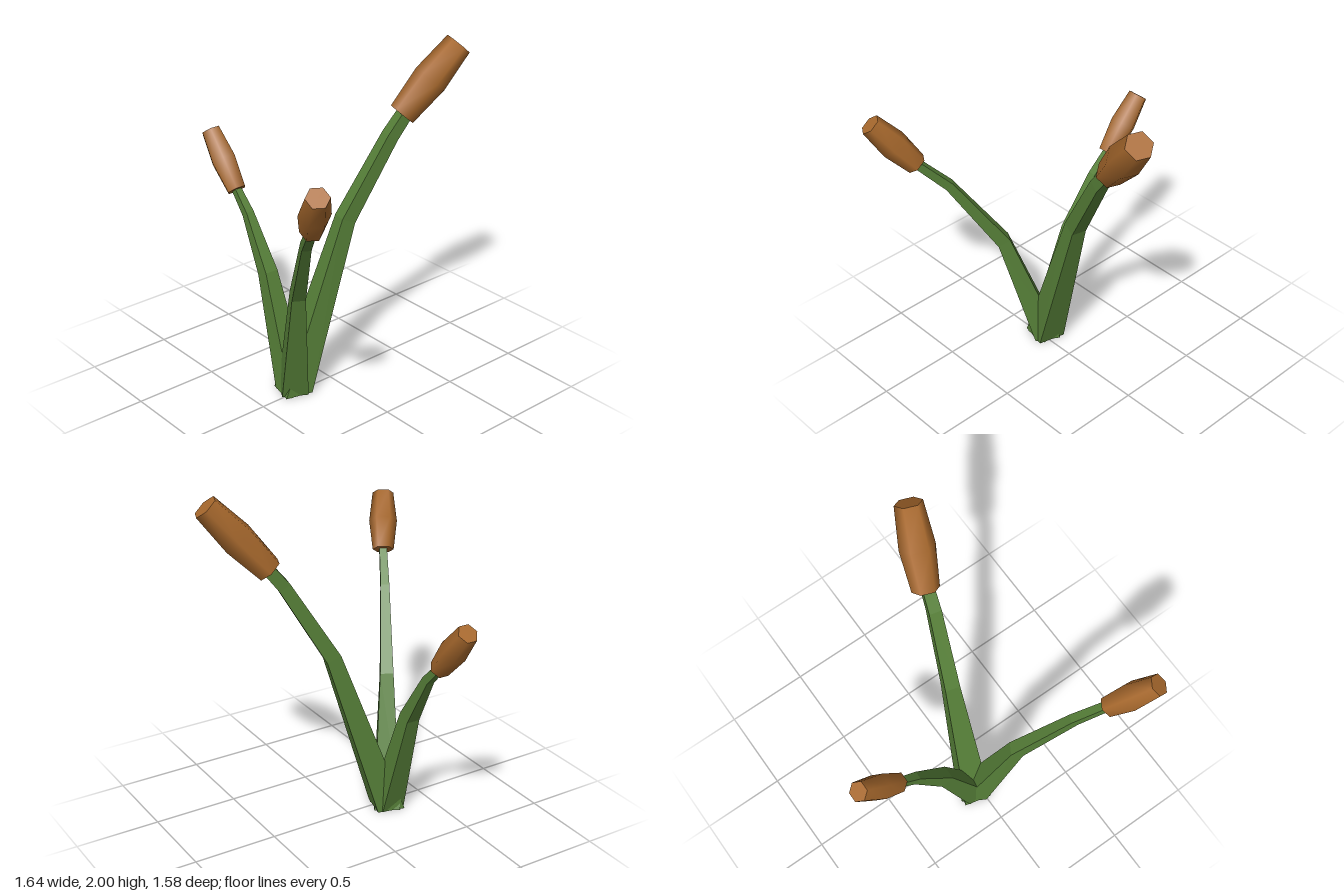
import * as THREE from 'three';
import { toCreasedNormals } from 'three/addons/utils/BufferGeometryUtils.js';

const V = (a) => new THREE.Vector3(...a);

// Square-section stem: nodes are [x, y, z, halfWidth]; first ring lies flat on the ground
function stemGeometry(nodes) {
  const pts = nodes.map((n) => V(n.slice(0, 3)));
  const lean = pts[pts.length - 1].clone().sub(pts[0]).setY(0).normalize();
  const side = new THREE.Vector3(0, 1, 0).cross(lean);
  const pos = [];
  const index = [];
  pts.forEach((p, i) => {
    const tangent = new THREE.Vector3(0, 1, 0);
    if (i > 0) {
      tangent.subVectors(p, pts[i - 1]).normalize();
      if (i < pts.length - 1) tangent.add(pts[i + 1].clone().sub(p).normalize());
      tangent.normalize();
    }
    const out = side.clone().cross(tangent).normalize();
    const s = nodes[i][3];
    for (const [a, b] of [[1, 1], [1, -1], [-1, -1], [-1, 1]]) {
      const c = p.clone().addScaledVector(side, a * s).addScaledVector(out, b * s);
      pos.push(c.x, c.y, c.z);
    }
  });
  // side walls
  for (let i = 0; i < pts.length - 1; i++) {
    for (let k = 0; k < 4; k++) {
      const a = i * 4 + k, b = i * 4 + (k + 1) % 4;
      index.push(a, a + 4, b, b, a + 4, b + 4);
    }
  }
  // end caps
  const t = (pts.length - 1) * 4;
  index.push(0, 1, 2, 0, 2, 3, t, t + 2, t + 1, t, t + 3, t + 2);
  // make the walls face outwards
  const g = new THREE.BufferGeometry();
  g.setAttribute('position', new THREE.Float32BufferAttribute(pos, 3));
  const A = V(pos.slice(0, 3)), B = V(pos.slice(3, 6)), T = V(pos.slice(12, 15));
  const normal = T.sub(A).cross(B.clone().sub(A));
  if (normal.dot(A.add(B).multiplyScalar(0.5).sub(pts[0])) < 0) {
    for (let i = 0; i < index.length; i += 3) [index[i + 1], index[i + 2]] = [index[i + 2], index[i + 1]];
  }
  g.setIndex(index);
  const flat = g.toNonIndexed();
  flat.computeVertexNormals();
  return flat;
}

// Six-sided seed head, bulged at the middle, running from one point to another
function headGeometry(from, to, endR, midR) {
  const a = V(from), b = V(to);
  const axis = b.clone().sub(a);
  const len = axis.length();
  axis.normalize();
  const g = new THREE.CylinderGeometry(endR, endR, len, 6, 2);
  const p = g.attributes.position;
  for (let i = 0; i < p.count; i++) {
    if (Math.abs(p.getY(i)) < 1e-4) {
      p.setX(i, p.getX(i) * midR / endR);
      p.setZ(i, p.getZ(i) * midR / endR);
    }
  }
  const side = new THREE.Vector3(0, 1, 0).cross(axis).normalize();
  const m = new THREE.Matrix4().makeBasis(axis.clone().cross(side), axis, side);
  m.setPosition(a.add(b).multiplyScalar(0.5));
  g.applyMatrix4(m);
  return toCreasedNormals(g, 1.15);
}

export function createModel() {
  const group = new THREE.Group();
  const green = new THREE.MeshStandardMaterial({ color: 0x567f38 });
  green.name = 'stem green';
  const brown = new THREE.MeshStandardMaterial({ color: 0xa8692d });
  brown.name = 'head brown';

  const reeds = [
    { // tall reed leaning back
      name: 'back',
      stem: [[-0.035, 0, 0.25, 0.083], [0.033, 1.02, -0.085, 0.044], [0.11, 1.475, -0.345, 0.036], [0.135, 1.62, -0.455, 0.033]],
      head: [[0.117, 1.585, -0.425], [0.233, 1.957, -0.733], 0.078, 0.1],
    },
    { // short reed leaning to the right side
      name: 'right',
      stem: [[-0.035, 0, 0.25, 0.073], [-0.255, 0.68, 0.25, 0.041], [-0.437, 0.985, 0.243, 0.025], [-0.56, 1.115, 0.24, 0.02]],
      head: [[-0.543, 1.095, 0.24], [-0.782, 1.39, 0.237], 0.059, 0.078],
    },
    { // middle reed leaning to the front left
      name: 'left',
      stem: [[-0.035, 0, 0.25, 0.077], [0.17, 0.745, 0.375, 0.039], [0.425, 1.185, 0.525, 0.026], [0.595, 1.38, 0.62, 0.022]],
      head: [[0.575, 1.355, 0.61], [0.77, 1.637, 0.733], 0.063, 0.084],
    },
  ];
  for (const r of reeds) {
    const stem = new THREE.Mesh(stemGeometry(r.stem), green);
    stem.name = r.name + 'Stem';
    const head = new THREE.Mesh(headGeometry(...r.head), brown);
    head.name = r.name + 'SeedHead';
    group.add(stem, head);
  }
  return group;
}
